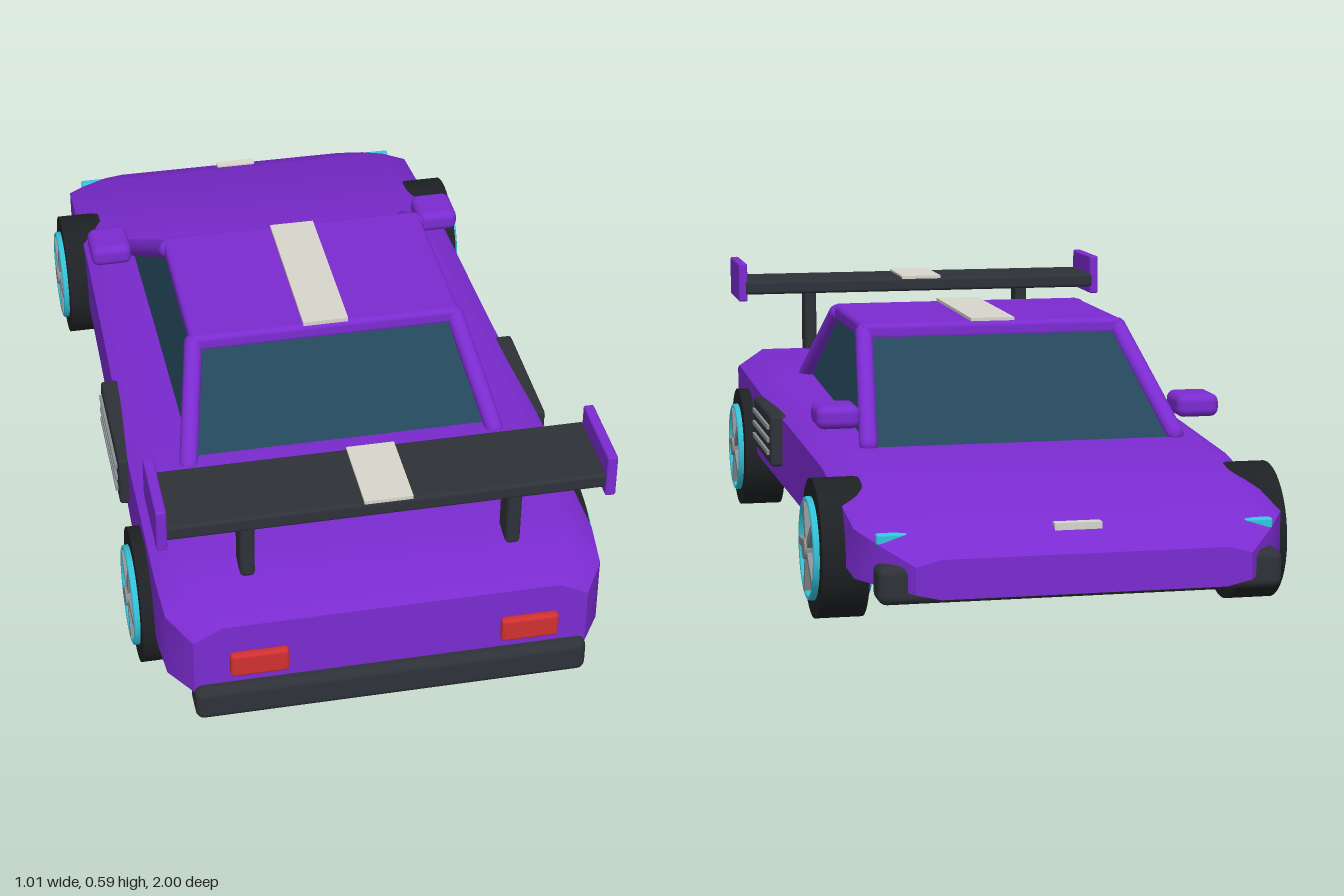
import * as THREE from 'three';
import { toCreasedNormals } from 'three/addons/utils/BufferGeometryUtils.js';
import { RoundedBoxGeometry } from 'three/addons/geometries/RoundedBoxGeometry.js';

const mat = (color) => new THREE.MeshStandardMaterial({ color });
const PAINT = mat(0x7b2bd0), GLASS = mat(0x24465a), TRIM = mat(0x2e3238), RUBBER = mat(0x1e2124);
const CYAN = mat(0x35c5dc), METAL = mat(0x8a8f94), STRIPE = mat(0xd8d6cc), RED = mat(0xd03030);

// Closed skin over rings of points, each ring counter-clockwise seen from the first end
function loft(rings, crease) {
  const n = rings[0].length, last = (rings.length - 1) * n, index = [];
  for (let i = 0; i < rings.length - 1; i++) {
    for (let j = 0; j < n; j++) {
      const a = i * n + j, b = i * n + (j + 1) % n;
      index.push(a, a + n, b + n, a, b + n, b);
    }
  }
  for (let j = 1; j < n - 1; j++) {
    index.push(0, j, j + 1, last, last + j + 1, last + j);
  }
  const geo = new THREE.BufferGeometry();
  geo.setAttribute('position', new THREE.Float32BufferAttribute(rings.flat(2), 3));
  geo.setIndex(index);
  return toCreasedNormals(geo, crease);
}

// Chamfered cross-section of the body at one z
function bodySection([z, w, bottom, top]) {
  const c = Math.min(0.06, w * 0.15), h = (top - bottom) * 0.15;
  const right = [[w - c, bottom], [w, bottom + h], [w, top - h * 1.1], [w - c, top]];
  const left = right.map(([x, y]) => [-x, y]).reverse();
  return [...right, ...left].map(([x, y]) => [x, y, z]);
}

export function createModel() {
  const car = new THREE.Group();
  car.name = 'sportsCar';

  const add = (name, geo, material, x = 0, y = 0, z = 0, parent = car) => {
    const mesh = new THREE.Mesh(geo, material);
    mesh.name = name;
    mesh.position.set(x, y, z);
    parent.add(mesh);
    return mesh;
  };
  // Box given by its extents, with softened edges when r > 0
  const box = (name, material, [x0, x1], [y0, y1], [z0, z1], r = 0) => {
    const s = [x1 - x0, y1 - y0, z1 - z0];
    const geo = r ? new RoundedBoxGeometry(...s, 3, r) : new THREE.BoxGeometry(...s);
    return add(name, geo, material, (x0 + x1) / 2, (y0 + y1) / 2, (z0 + z1) / 2);
  };
  // Same box on both sides of the car
  const pair = (name, material, [x0, x1], ys, zs, r) => {
    box(name + 'Left', material, [x0, x1], ys, zs, r);
    box(name + 'Right', material, [-x1, -x0], ys, zs, r);
  };

  // Wedge body: z, half width, bottom, top
  const sections = [
    [0.96, 0.41, 0.13, 0.32], [0.89, 0.455, 0.125, 0.342], [0.8, 0.462, 0.12, 0.365],
    [0.4, 0.46, 0.115, 0.35], [-0.05, 0.45, 0.11, 0.335], [-0.48, 0.443, 0.11, 0.318],
    [-0.87, 0.44, 0.11, 0.255], [-0.93, 0.4, 0.11, 0.228], [-1, 0.34, 0.11, 0.19],
  ];
  add('body', loft(sections.map(bodySection), 0.7), PAINT);

  // Tapered glass cabin
  const rect = (w, y, z0, z1) => [[w, y, z1], [w, y, z0], [-w, y, z0], [-w, y, z1]];
  add('cabinGlass', loft([rect(0.29, 0.525, -0.125, 0.255), rect(0.335, 0.315, -0.46, 0.47)], 0.1), GLASS);

  // Roof with centre stripe, and its four pillars
  box('roof', PAINT, [-0.3, 0.3], [0.505, 0.543], [-0.145, 0.27], 0.012);
  box('roofStripe', STRIPE, [-0.05, 0.05], [0.54, 0.55], [-0.135, 0.265]);
  for (const side of [1, -1]) {
    for (const [zTop, zBase, yBase] of [[-0.125, -0.445, 0.325], [0.255, 0.455, 0.35]]) {
      const a = new THREE.Vector3(side * 0.292, 0.522, zTop);
      const b = new THREE.Vector3(side * 0.338, yBase, zBase);
      const mid = a.clone().add(b).multiplyScalar(0.5);
      const pillar = add(zTop < 0 ? 'nosePillar' : 'tailPillar',
        new THREE.CapsuleGeometry(0.02, a.distanceTo(b), 6, 12), PAINT, mid.x, mid.y, mid.z);
      pillar.quaternion.setFromUnitVectors(new THREE.Vector3(0, 1, 0), a.sub(b).normalize());
    }
  }
  pair('mirror', PAINT, [0.35, 0.445], [0.355, 0.405], [-0.43, -0.325], 0.018);

  // Wing on two struts
  box('wing', TRIM, [-0.452, 0.452], [0.515, 0.549], [0.72, 0.905], 0.008);
  box('wingStripe', STRIPE, [-0.05, 0.05], [0.545, 0.554], [0.722, 0.903]);
  pair('wingEndPlate', PAINT, [0.447, 0.469], [0.497, 0.594], [0.727, 0.91], 0.005);
  pair('wingStrut', TRIM, [0.262, 0.293], [0.35, 0.53], [0.787, 0.85], 0.01);

  // Bumpers, lamps and nose badge plate
  box('tailBumper', TRIM, [-0.41, 0.41], [0.098, 0.175], [0.905, 0.985], 0.018);
  box('noseBumper', TRIM, [-0.41, 0.41], [0.098, 0.175], [-0.985, -0.905], 0.018);
  pair('tailLamp', RED, [0.22, 0.34], [0.22, 0.276], [0.98, 1], 0.008);
  pair('headlamp', CYAN, [0.335, 0.405], [0.207, 0.23], [-0.928, -0.908], 0.005);
  box('nosePlate', STRIPE, [-0.048, 0.048], [0.222, 0.239], [-0.936, -0.914]);

  // Side vents with three slats
  pair('ventPanel', TRIM, [0.44, 0.48], [0.19, 0.31], [0.065, 0.37], 0.008);
  for (const y of [0.22, 0.25, 0.28]) {
    pair('ventSlat', METAL, [0.47, 0.486], [y - 0.005, y + 0.005], [0.085, 0.35]);
  }

  // Wheels: tyre with ring, hub and five spokes on both faces
  const tyreGeo = new THREE.CylinderGeometry(0.145, 0.145, 0.097, 40).rotateZ(Math.PI / 2);
  const ringGeo = new THREE.TorusGeometry(0.102, 0.006, 8, 40).rotateY(Math.PI / 2);
  const hubGeo = new THREE.CylinderGeometry(0.022, 0.022, 0.134, 20).rotateZ(Math.PI / 2);
  const spokeGeo = new THREE.BoxGeometry(0.124, 0.095, 0.017).translate(0, 0.052, 0);
  for (const side of [1, -1]) {
    for (const z of [0.62, -0.63]) {
      const wheel = new THREE.Group();
      wheel.name = z > 0 ? 'tailWheel' : 'noseWheel';
      wheel.position.set(side * 0.4395, 0.145, z);
      add('tyre', tyreGeo, RUBBER, 0, 0, 0, wheel);
      add('hub', hubGeo, METAL, 0, 0, 0, wheel);
      for (const face of [1, -1]) {
        add('rimRing', ringGeo, CYAN, face * 0.056, 0, 0, wheel);
        add('rimLip', ringGeo, CYAN, face * 0.05, 0, 0, wheel);
      }
      for (let i = 0; i < 5; i++) {
        add('spoke', spokeGeo, METAL, 0, 0, 0, wheel).rotation.x = Math.PI / 2 + i * Math.PI * 0.4;
      }
      car.add(wheel);
    }
  }
  return car;
}
